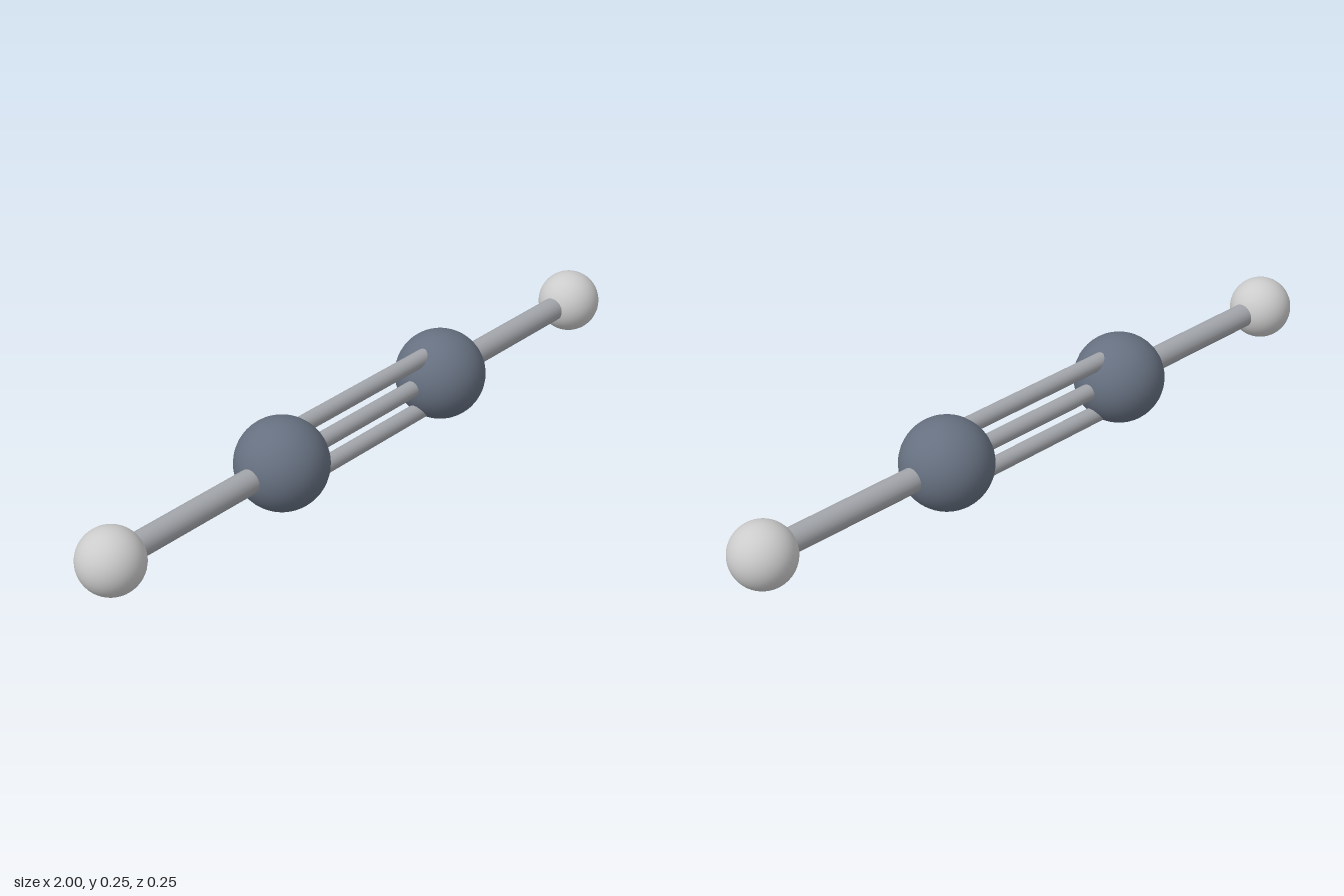
import * as THREE from 'three';

const CENTRE_Y = 0.123;
const LARGE_X = 0.319, SMALL_X = 0.914;

export function createModel() {
  const model = new THREE.Group();
  model.name = 'linearMolecule';

  const darkMat = new THREE.MeshStandardMaterial({ color: 0x667080 });
  const greyMat = new THREE.MeshStandardMaterial({ color: 0xcccccc });
  const bondMat = new THREE.MeshStandardMaterial({ color: 0xa3a6ab });

  function addAtom(name, x, radius, material) {
    const atom = new THREE.Mesh(new THREE.SphereGeometry(radius, 40, 28), material);
    atom.name = name;
    atom.position.set(x, CENTRE_Y, 0);
    model.add(atom);
  }

  // A rod along x, running between two atom centres
  function addBond(name, x0, x1, radius, offsetY = 0) {
    const geometry = new THREE.CylinderGeometry(radius, radius, Math.abs(x1 - x0), 24);
    geometry.rotateZ(Math.PI / 2);
    const bond = new THREE.Mesh(geometry, bondMat);
    bond.name = name;
    bond.position.set((x0 + x1) / 2, CENTRE_Y + offsetY, 0);
    model.add(bond);
  }

  // Mirrored atoms and outer single bonds
  for (const [side, s] of [['left', 1], ['right', -1]]) {
    addAtom(side + 'LargeAtom', s * LARGE_X, 0.123, darkMat);
    addAtom(side + 'SmallAtom', s * SMALL_X, 0.086, greyMat);
    addBond(side + 'SingleBond', s * LARGE_X, s * SMALL_X, 0.033);
  }

  // Triple bond, stacked vertically between the large atoms
  const offsets = { lower: -0.078, middle: 0, upper: 0.078 };
  for (const [level, y] of Object.entries(offsets)) {
    addBond(level + 'TripleBond', -LARGE_X, LARGE_X, 0.023, y);
  }

  return model;
}
